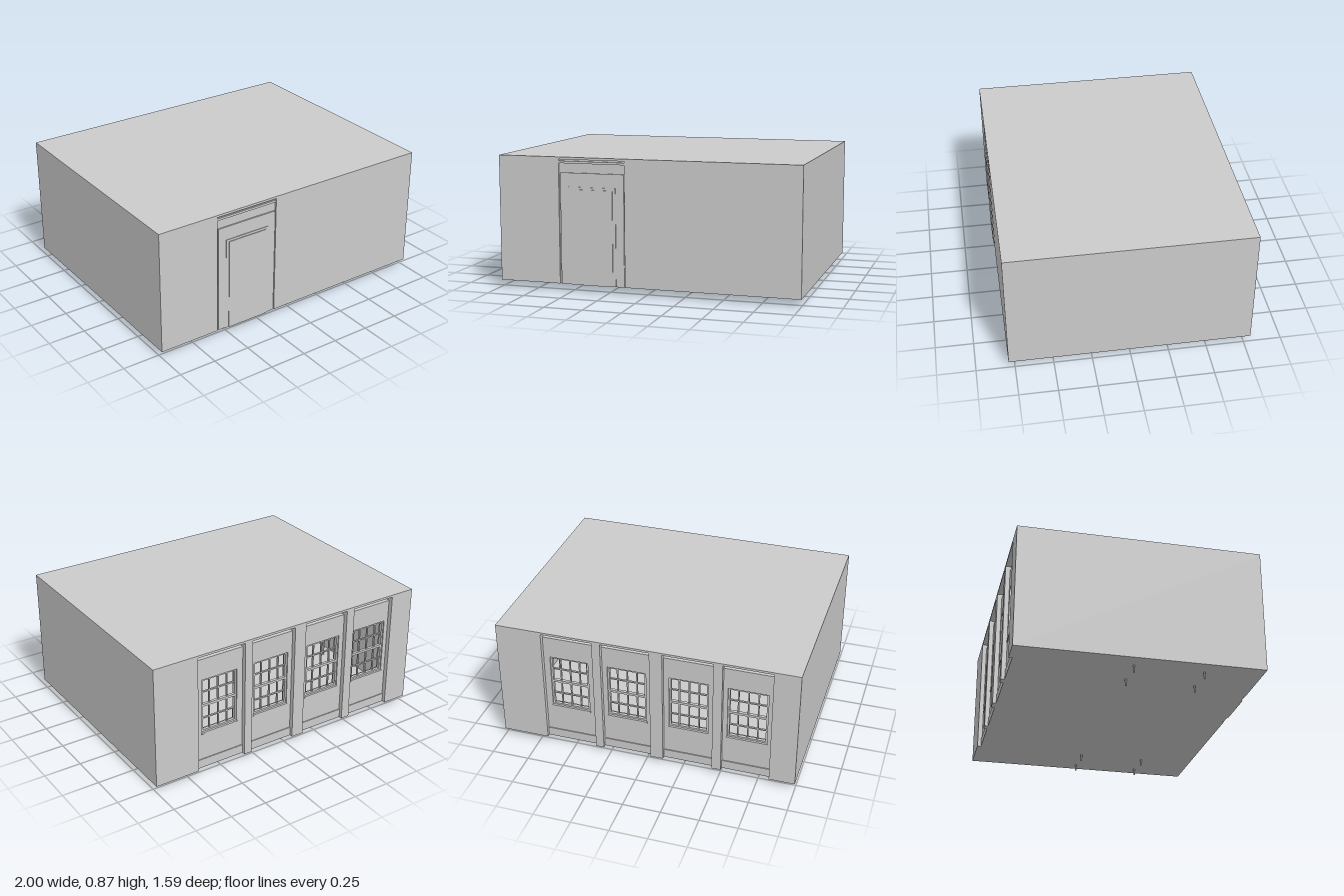
import * as THREE from 'three';

const material = new THREE.MeshStandardMaterial({ color: 0xcccccc, flatShading: true });

// Box given by its minimum and maximum corners
function block(parent, name, [x0, y0, z0], [x1, y1, z1]) {
  const mesh = new THREE.Mesh(new THREE.BoxGeometry(x1 - x0, y1 - y0, z1 - z0), material);
  mesh.name = name;
  mesh.position.set((x0 + x1) / 2, (y0 + y1) / 2, (z0 + z1) / 2);
  parent.add(mesh);
  return mesh;
}

function rect(Type, x0, y0, x1, y1) {
  const p = new Type();
  p.moveTo(x0, y0);
  p.lineTo(x1, y0);
  p.lineTo(x1, y1);
  p.lineTo(x0, y1);
  p.closePath();
  return p;
}

// Flat panel with a rectangular hole, extruded from z0 to z1
function pierced(parent, name, outer, hole, z0, z1) {
  const shape = rect(THREE.Shape, ...outer);
  shape.holes.push(rect(THREE.Path, ...hole));
  const geometry = new THREE.ExtrudeGeometry(shape, { depth: z1 - z0, bevelEnabled: false });
  const mesh = new THREE.Mesh(geometry, material);
  mesh.name = name;
  mesh.position.z = z0;
  parent.add(mesh);
}

const BASE = 0.045, TOP = 0.87, BACK = -0.795, FRONT = 0.79;
const PANEL = -0.765, INNER = -0.715;

// Sash window with a lattice of glazing bars
function windowSash(parent, x0, y0, x1, y1) {
  const sash = new THREE.Group();
  sash.name = 'window';
  const f = 0.012, zo = PANEL + 0.008, zi = zo + 0.02, mid = (y0 + y1) / 2;
  pierced(sash, 'windowFrame', [x0, y0, x1, y1], [x0 + f, y0 + f, x1 - f, y1 - f], zo, zi);
  block(sash, 'meetingRail', [x0 + f, mid - 0.008, zo], [x1 - f, mid + 0.008, zi]);
  for (let i = 1; i < 4; i++) {
    const x = x0 + (x1 - x0) * i / 4;
    block(sash, 'verticalBar', [x - 0.004, y0 + f, zo + 0.004], [x + 0.004, y1 - f, zi - 0.004]);
    if (i === 2) continue;
    const y = y0 + (y1 - y0) * i / 4;
    block(sash, 'horizontalBar', [x0 + f, y - 0.004, zo + 0.004], [x1 - f, y + 0.004, zi - 0.004]);
  }
  block(sash, 'windowSill', [x0 - 0.005, y0 - 0.012, PANEL - 0.006], [x1 + 0.005, y0, PANEL + 0.01]);
  parent.add(sash);
}

// Narrow table whose leg tips reach below the floor
function table(parent, x) {
  const group = new THREE.Group();
  group.name = 'table';
  group.position.set(x, 0, 0.195);
  block(group, 'tableTop', [-0.12, 0.27, -0.25], [0.12, 0.29, 0.25]);
  for (const sx of [-1, 1]) for (const sz of [-1, 1]) {
    const leg = new THREE.Mesh(new THREE.CylinderGeometry(0.013, 0.006, 0.27, 8), material);
    leg.name = 'tableLeg';
    leg.position.set(sx * 0.105, 0.135, sz * 0.225);
    group.add(leg);
  }
  parent.add(group);
}

export function createModel() {
  const room = new THREE.Group();
  room.name = 'room';

  // Shell
  block(room, 'roof', [-1, TOP - 0.015, BACK], [1, TOP, FRONT]);
  block(room, 'floor', [-0.97, BASE, PANEL], [0.97, BASE + 0.015, FRONT - 0.03]);
  for (const s of [-1, 1]) {
    const wall = block(room, 'sideWall', [-0.015, BASE, BACK], [0.015, TOP - 0.015, FRONT]);
    wall.position.x = s * 0.985;
  }

  // Back wall: piers between recessed bays, each with a window
  const bays = [[-0.83, -0.51], [-0.45, -0.12], [-0.035, 0.29], [0.345, 0.69]];
  let edge = -0.97;
  for (const [a, b] of [...bays, [0.97, 0.97]]) {
    block(room, 'backPier', [edge, BASE, BACK], [a, TOP - 0.015, INNER]);
    edge = b;
    if (a === b) break;
    const c = (a + b) / 2;
    const w = [c - 0.13, 0.3, c + 0.13, 0.675];
    pierced(room, 'bayPanel', [a, BASE, b, 0.82], w, PANEL, INNER);
    block(room, 'bayPlinth', [a, BASE, PANEL - 0.006], [b, 0.105, PANEL]);
    block(room, 'bayHeader', [a, 0.82, INNER - 0.01], [b, TOP - 0.015, INNER]);
    windowSash(room, ...w);
  }

  // Front wall with a shallow portal
  const l = -0.585, r = -0.14;
  block(room, 'frontWall', [-0.97, BASE, FRONT - 0.03], [l, TOP - 0.015, FRONT]);
  block(room, 'frontWall', [r, BASE, FRONT - 0.03], [0.97, TOP - 0.015, FRONT]);
  block(room, 'portalBack', [l, BASE, FRONT - 0.03], [r, TOP - 0.015, FRONT - 0.012]);
  block(room, 'portalPanel', [l + 0.01, BASE, FRONT - 0.012], [r - 0.005, 0.77, FRONT - 0.003]);
  block(room, 'portalCornice', [l, 0.83, FRONT - 0.012], [r, 0.845, FRONT - 0.002]);

  // Door and its casing
  const door = new THREE.Group();
  door.name = 'door';
  for (const x of [-0.52, -0.22]) {
    block(door, 'doorJamb', [x, BASE, FRONT - 0.012], [x + 0.02, 0.665, FRONT + 0.001]);
  }
  block(door, 'doorLintel', [-0.52, 0.665, FRONT - 0.012], [-0.2, 0.68, FRONT + 0.001]);
  block(door, 'doorLeaf', [-0.5, BASE, FRONT - 0.012], [-0.22, 0.665, FRONT + 0.006]);
  room.add(door);

  // Furniture along the side walls
  table(room, -0.78);
  table(room, 0.805);
  return room;
}
